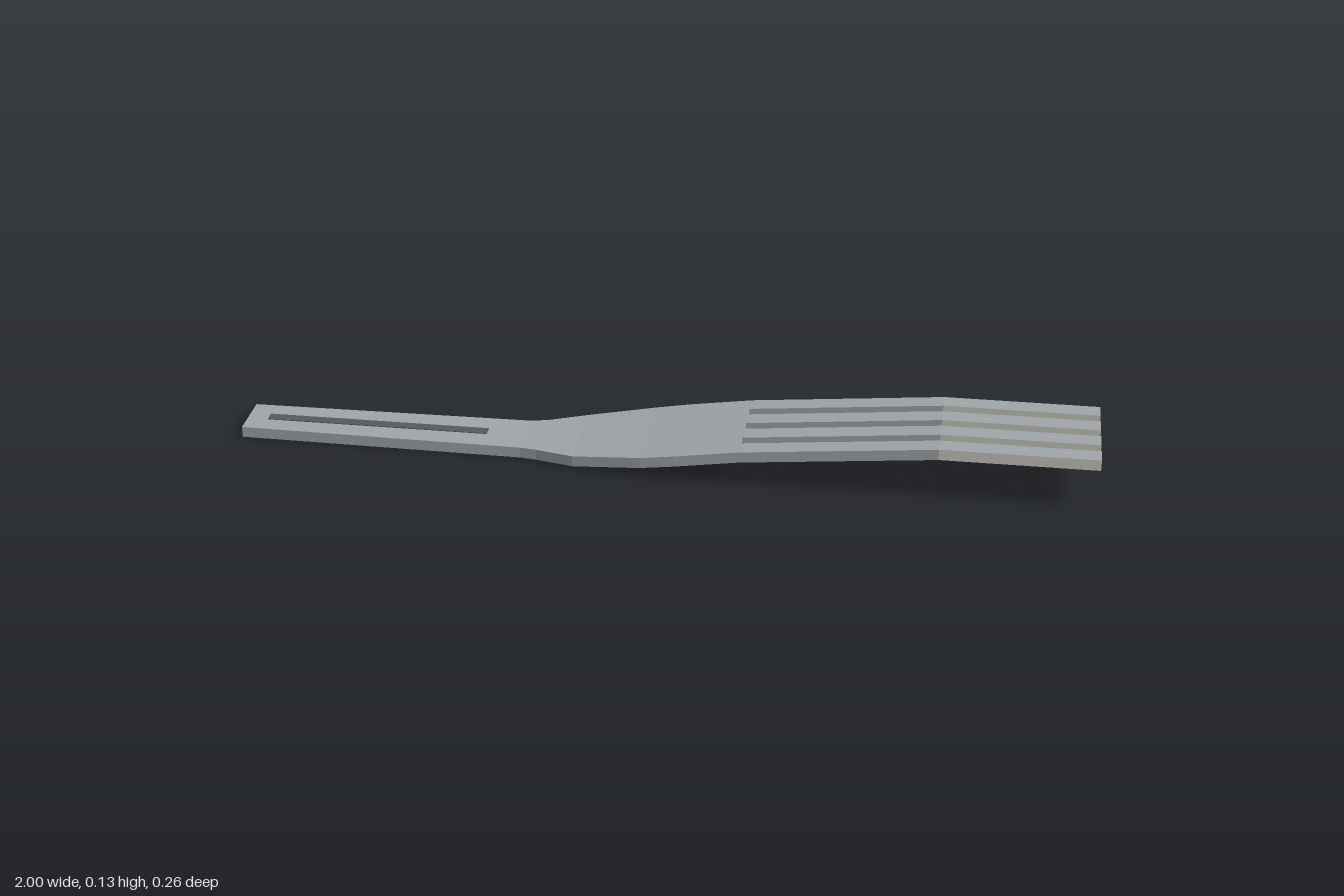
import * as THREE from 'three';

const THICK = 0.026;

// Lofts a flat bar along x. Stations are [x, z min, z max, bottom y].
// Material group 0 is top and bottom, group 1 is the sides and end caps.
function loftBar(stations) {
  const faces = [], edges = [];
  const quad = (list, a, b, c, d) => list.push(...a, ...b, ...c, ...a, ...c, ...d);
  const rings = stations.map(([x, z0, z1, y]) => [
    [x, y, z0], [x, y, z1], [x, y + THICK, z1], [x, y + THICK, z0],
  ]);
  for (let i = 0; i < rings.length - 1; i++) {
    const a = rings[i], b = rings[i + 1];
    for (let k = 0; k < 4; k++) {
      const n = (k + 1) % 4;
      quad(k % 2 === 0 ? faces : edges, a[k], b[k], b[n], a[n]);
    }
  }
  quad(edges, ...rings[0]);
  quad(edges, ...rings[rings.length - 1].slice().reverse());
  const geo = new THREE.BufferGeometry();
  geo.setAttribute('position', new THREE.Float32BufferAttribute([...faces, ...edges], 3));
  geo.addGroup(0, faces.length / 3, 0);
  geo.addGroup(faces.length / 3, edges.length / 3, 1);
  geo.computeVertexNormals();
  return geo;
}

export function createModel() {
  const model = new THREE.Group();
  model.name = 'fork';

  const material = (name, color) => {
    const m = new THREE.MeshStandardMaterial({ color });
    m.name = name;
    return m;
  };
  const steel = material('steel', 0xa1a6a9);
  const polished = material('polishedSteel', 0xc8c7c0);
  const dark = material('darkInlay', 0x555b61);

  const add = (name, geo, mat, parent = model) => {
    const mesh = new THREE.Mesh(geo, mat);
    mesh.name = name;
    parent.add(mesh);
  };

  // Handle, neck and head: [x, half width, bottom y]
  const body = [
    [-1, 0.06, 0], [-0.33, 0.069, 0], [-0.29, 0.076, 0.001], [-0.2, 0.105, 0.006],
    [-0.04, 0.128, 0.026], [0.04, 0.132, 0.038], [0.19, 0.132, 0.06],
  ];
  add('handleAndHead', loftBar(body.map(([x, w, y]) => [x, -w, w, y])), [steel, steel]);

  // Four tines, each a sloping root and a level tip with bright edges
  const tineHalf = 0.0225;
  [-0.1095, -0.0365, 0.0365, 0.1095].forEach((z, i) => {
    const tine = new THREE.Group();
    tine.name = `tine${i + 1}`;
    const at = (x, y) => [x, z - tineHalf, z + tineHalf, y];
    add('tineRoot', loftBar([at(0.19, 0.06), at(0.64, 0.101)]), [steel, steel], tine);
    add('tineTip', loftBar([at(0.64, 0.101), at(1, 0.101)]), [steel, polished], tine);
    model.add(tine);
  });

  // Dark strip along the top of the handle
  const inlay = new THREE.BoxGeometry(0.53, 0.004, 0.026);
  inlay.translate(-0.685, THICK, 0);
  add('handleInlay', inlay, dark);

  return model;
}
